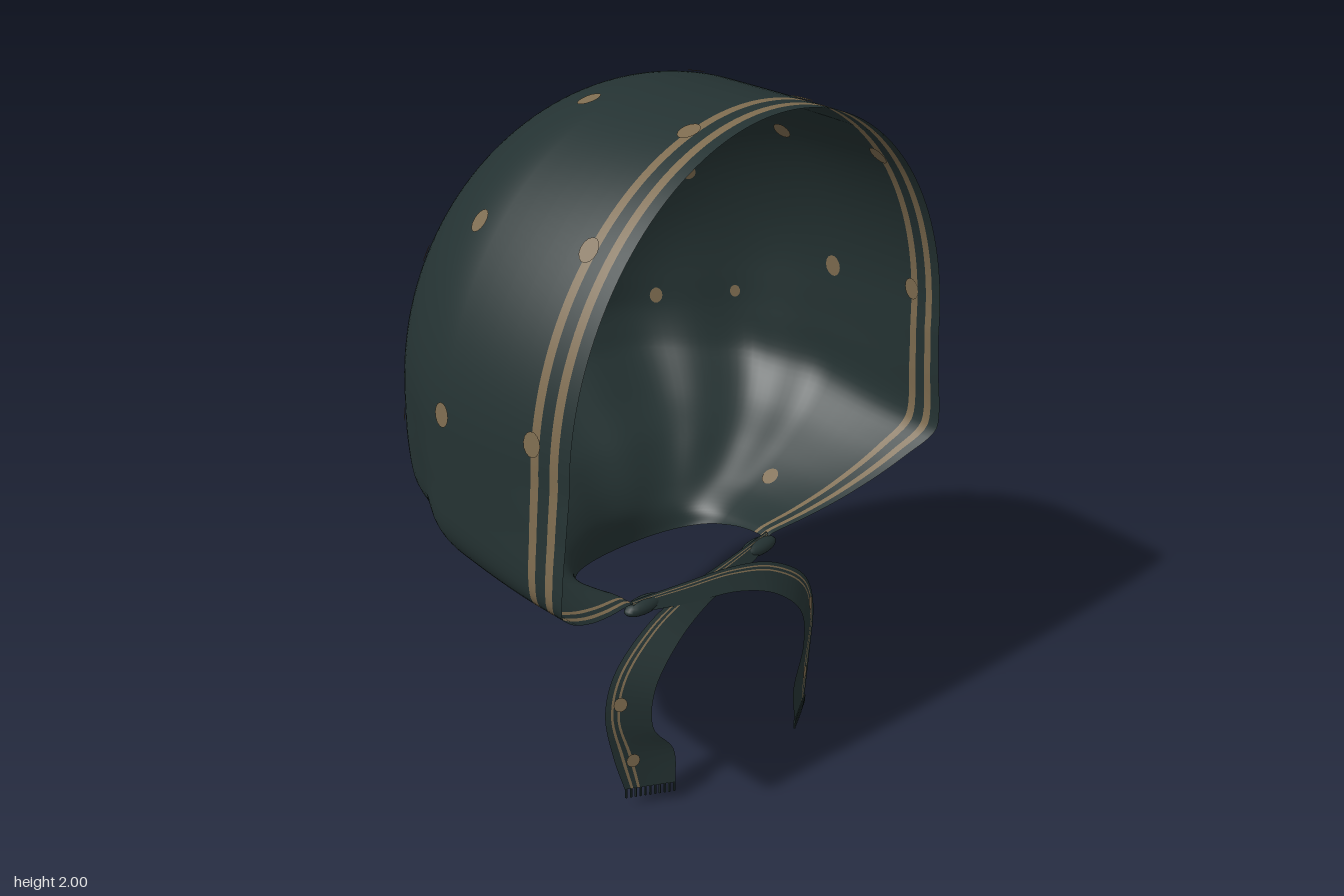
import * as THREE from 'three';

const V = (x, y, z) => new THREE.Vector3(x, y, z);
const spline = (pts) => new THREE.CatmullRomCurve3(pts.map((p) => V(...p)));
const { lerp, smoothstep } = THREE.MathUtils;

const cloth = new THREE.MeshStandardMaterial({ color: 0x243232, side: THREE.DoubleSide });
cloth.name = 'dark teal cloth';
const tan = new THREE.MeshStandardMaterial({ color: 0x7d6b4f, side: THREE.DoubleSide });
tan.name = 'tan print';

// Lower half of the hood, from neck to widest level
const lowerA = spline([ // front y, back y, half width
  [0.595, 0.49, 0.27], [0.605, 0.57, 0.3], [0.64, 0.66, 0.41], [0.7, 0.77, 0.54],
  [0.79, 0.87, 0.67], [0.89, 0.99, 0.75], [1.05, 1.1, 0.757], [1.2, 1.2, 0.755]]);
const lowerB = spline([ // front edge x, front edge z, back z
  [0.27, 0.28, -0.11], [0.29, 0.285, -0.1], [0.41, 0.33, -0.12], [0.54, 0.39, -0.2],
  [0.67, 0.46, -0.33], [0.745, 0.52, -0.46], [0.73, 0.52, -0.515], [0.713, 0.52, -0.52]]);

// Point on the hood: s runs from front edge (0) to centre back (1), v from neck (0) to crown (1)
function hoodPoint(side, s, v) {
  let yf, yb, W, xf, zf, zb;
  if (v < 0.5) {
    const a = lowerA.getPoint(v * 2), b = lowerB.getPoint(v * 2);
    [yf, yb, W, xf, zf, zb] = [a.x, a.y, a.z, b.x, b.y, b.z];
  } else {
    const phi = (v - 0.5) * Math.PI, c = Math.max(0, Math.cos(phi));
    yf = yb = 1.2 + 0.8 * Math.sin(phi);
    W = 0.755 * c; xf = 0.945 * W; zf = 0.52; zb = 0.1 - 0.62 * c;
  }
  const zc = 0.1, y = lerp(yf, yb, smoothstep(s, 0.1, 1));
  if (s < 0.4) {
    const t = s / 0.4;
    return V(side * lerp(xf, W, 1 - (1 - t) ** 2), y, lerp(zf, zc, t));
  }
  // Rounded back with soft gathers towards the neck
  const a = ((s - 0.4) / 0.6) * Math.PI / 2;
  const fade = smoothstep(y, 0.55, 0.8) * (1 - smoothstep(y, 0.85, 1.4)) * smoothstep(s, 0.4, 0.6);
  const k = 1 + 0.025 * fade * (Math.cos(12 * a) - 1);
  return V(side * W * Math.cos(a) * k, y, zc + (zb - zc) * Math.sin(a) * k);
}

// Grid surface with chosen columns printed in the second material
function sheet(name, rows, cols, point, printed) {
  const pos = [], plain = [], print = [];
  for (let i = 0; i <= rows; i++)
    for (let j = 0; j <= cols; j++) pos.push(...point(i, j).toArray());
  for (let i = 0; i < rows; i++)
    for (let j = 0; j < cols; j++) {
      const a = i * (cols + 1) + j, b = a + cols + 1;
      (printed(j) ? print : plain).push(a, a + 1, b, a + 1, b + 1, b);
    }
  const g = new THREE.BufferGeometry();
  g.setAttribute('position', new THREE.Float32BufferAttribute(pos, 3));
  g.setIndex([...plain, ...print]);
  g.addGroup(0, plain.length, 0);
  g.addGroup(plain.length, print.length, 1);
  g.computeVertexNormals();
  const m = new THREE.Mesh(g, [cloth, tan]);
  m.name = name;
  return m;
}

// Thin printed spot, visible on both faces of the cloth
function addSpot(group, p, n, rx, ry) {
  for (const off of [0.004, -0.004]) {
    const spot = new THREE.Mesh(new THREE.CircleGeometry(1, 14), tan);
    spot.name = 'spot';
    spot.position.copy(p).addScaledVector(n, off);
    spot.lookAt(spot.position.clone().add(n));
    spot.scale.set(rx, ry, 1);
    group.add(spot);
  }
}

function buildHood() {
  const hood = new THREE.Group();
  hood.name = 'hood';
  const half = [0, 0.083, 0.143, 0.226, 0.286, 0.4, 0.55, 0.7, 0.85].map((t) => t * 0.4);
  for (let i = 0; i <= 36; i++) half.push(0.4 + 0.6 * i / 36);
  const n = half.length - 1, cols = 2 * n, rows = 88;
  const shell = sheet('hoodShell', rows, cols,
    (i, j) => (j <= n ? hoodPoint(1, half[j], i / rows) : hoodPoint(-1, half[cols - j], i / rows)),
    (j) => [1, 3].includes(Math.min(j, cols - 1 - j)));
  const normals = shell.geometry.attributes.normal;
  for (let j = 0; j <= cols; j++) normals.setXYZ(rows * (cols + 1) + j, 0, 1, 0);
  hood.add(shell);

  // Printed spots, mirrored and snapped to the nearest place on the shell
  const spots = [[0.2, 1.96, 0.03], [0.56, 1.74, 0.03], [0.74, 1.27, 0.08], [0.19, 1.76, -0.31],
    [0.5, 1.53, -0.29], [0.18, 1.31, -0.48], [0.45, 1.13, -0.39], [0.63, 1.13, -0.21],
    [0.7, 1.29, 0.405], [0.53, 1.73, 0.405], [0.19, 1.96, 0.405], [0.47, 0.67, 0.12]];
  const sizes = [0.026, 0.026, 0.027, 0.024, 0.02, 0.03, 0.02, 0.016, 0.027, 0.027, 0.027, 0.024];
  spots.forEach((c, k) => {
    const target = V(...c);
    let best = Infinity, bs = 0, bv = 0;
    for (let i = 2; i < 100; i++)
      for (let j = 2; j < 99; j++) {
        const d = hoodPoint(1, j / 100, i / 100).distanceTo(target);
        if (d < best) { best = d; bs = j / 100; bv = i / 100; }
      }
    const e = 0.005;
    const ds = hoodPoint(1, bs + e, bv).sub(hoodPoint(1, bs - e, bv));
    const dv = hoodPoint(1, bs, bv + e).sub(hoodPoint(1, bs, bv - e));
    const nrm = ds.cross(dv).normalize(), p = hoodPoint(1, bs, bv);
    for (const m of [1, -1])
      addSpot(hood, V(p.x * m, p.y, p.z), V(nrm.x * m, nrm.y, nrm.z), sizes[k], sizes[k] * 1.25);
  });
  return hood;
}

// Ribbon that starts at one neck corner, crosses the middle and hangs on the other side
const outerEdge = [[0.28, 0.61, 0.27], [0.1, 0.605, 0.295], [-0.08, 0.59, 0.31], [-0.25, 0.54, 0.315],
  [-0.39, 0.44, 0.325], [-0.43, 0.33, 0.33], [-0.41, 0.18, 0.34], [-0.38, 0.06, 0.355]];
const innerEdge = [[0.28, 0.58, 0.29], [0.1, 0.555, 0.33], [-0.06, 0.535, 0.355], [-0.2, 0.48, 0.38],
  [-0.3, 0.38, 0.395], [-0.31, 0.26, 0.4], [-0.25, 0.17, 0.42], [-0.25, 0.06, 0.43]];

function buildTie(m) {
  const tie = new THREE.Group();
  tie.name = m > 0 ? 'rightTie' : 'leftTie';
  const shift = ([x, y, z]) => [x * m, m < 0 && y < 0.2 ? y - 0.03 : y, m < 0 ? z + 0.008 : z];
  const outer = spline(outerEdge.map(shift)), inner = spline(innerEdge.map(shift));
  const at = (t, w) => outer.getPoint(t).lerp(inner.getPoint(t), w);
  const w = [0, 0.12, 0.17, 0.25, 0.3, 0.65, 1], rows = 48;
  tie.add(sheet('ribbon', rows, w.length - 1, (i, j) => at(i / rows, w[j]), (j) => j === 1 || j === 3));

  for (const t of [0.66, 0.88]) {
    const n = at(t, 1).sub(at(t, 0)).cross(at(t + 0.01, 0.3).sub(at(t - 0.01, 0.3))).normalize();
    addSpot(tie, at(t, 0.3), n, 0.02, 0.022);
  }
  // Fringe threads
  for (let i = 0; i < 11; i++) {
    const thread = new THREE.Mesh(new THREE.BoxGeometry(0.005, 0.03, 0.005), cloth);
    thread.name = 'fringeThread';
    thread.position.copy(at(1, 0.03 + 0.094 * i));
    thread.position.y -= 0.015;
    tie.add(thread);
  }
  // Gathered cloth where the tie meets the hood
  const gather = new THREE.Mesh(new THREE.SphereGeometry(1, 20, 12), cloth);
  gather.name = 'gather';
  gather.scale.set(0.07, 0.024, 0.03);
  gather.position.set(0.235 * m, 0.58, 0.28);
  tie.add(gather);
  return tie;
}

export function createModel() {
  const model = new THREE.Group();
  model.name = 'tiedHeadscarf';
  model.add(buildHood(), buildTie(1), buildTie(-1));
  return model;
}
